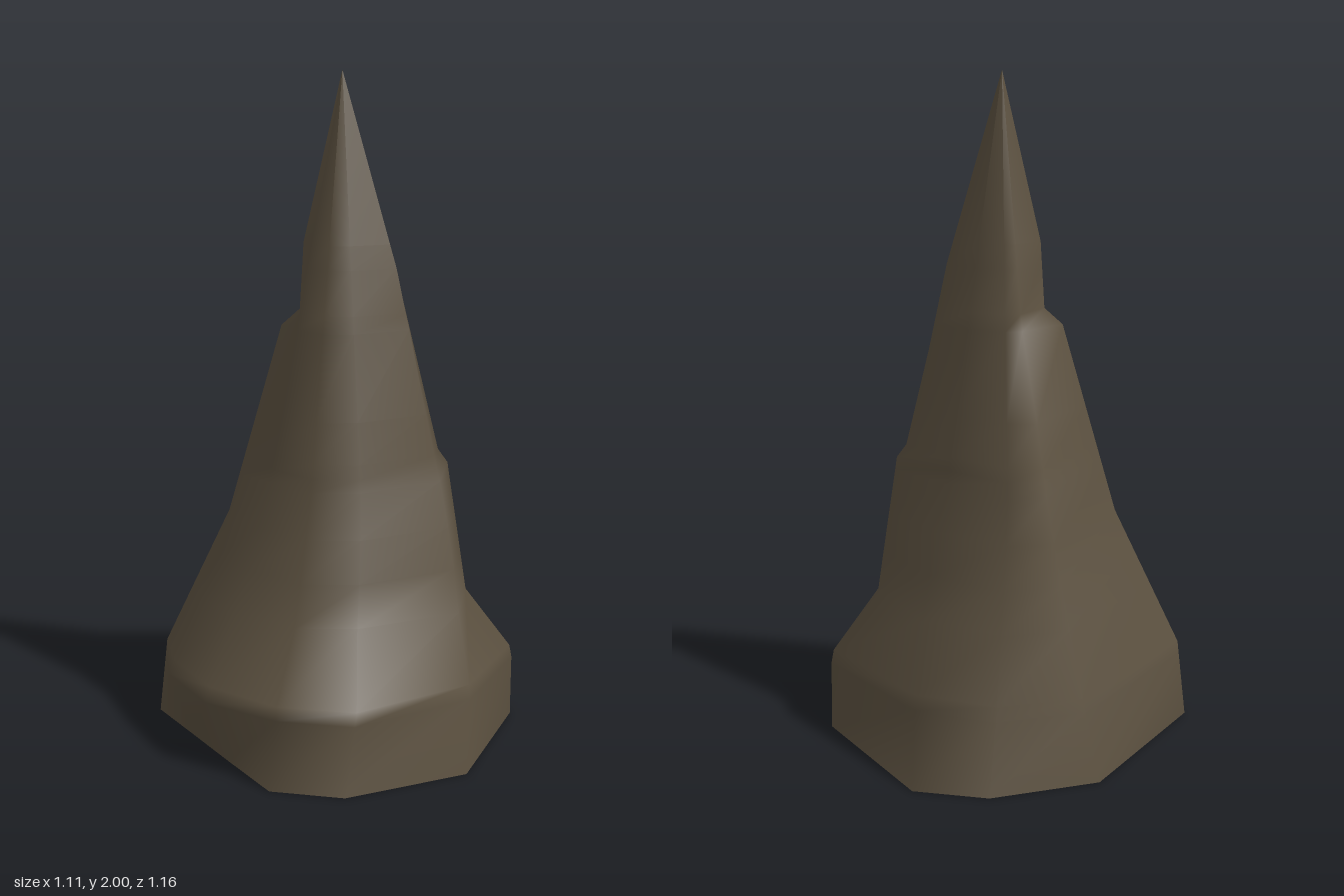
import * as THREE from 'three';

const HEIGHT = 2;
const rad = THREE.MathUtils.degToRad;

// A ridge climbs from the ground to the tip: its bearing turns from one angle
// to another over the lower rock, its reach follows [height, radius] pairs.
const ridge = (from, to, ...profile) => ({ from, to, profile: [...profile, [HEIGHT, 0]] });

const RIDGES = [
  // back
  ridge(-79, -85, [0, 0.59], [0.8, 0.35], [1.27, 0.155]),
  // back left
  ridge(-57.5, -40, [0, 0.605], [0.8, 0.25]),
  // left, with foot, ledge and shard
  ridge(-2, 8, [0, 0.555], [0.23, 0.55], [0.43, 0.4], [0.84, 0.335], [0.88, 0.305], [1.43, 0.165]),
  // front left
  ridge(47, 22, [0, 0.573], [0.23, 0.52], [0.43, 0.44], [0.84, 0.32], [1.43, 0.18]),
  // front
  ridge(86, 75, [0, 0.581], [0.24, 0.546], [0.43, 0.39], [0.8, 0.275]),
  ridge(108, 105, [0, 0.57], [0.24, 0.53], [0.43, 0.4], [0.8, 0.28]),
  // front right, overhanging at the foot
  ridge(131, 143, [0, 0.468], [0.2, 0.537], [0.5, 0.355], [0.8, 0.25]),
  ridge(159, 169, [0, 0.464], [0.2, 0.533], [0.55, 0.375], [1.25, 0.16], [1.3, 0.11]),
  // right, with a high notch
  ridge(182, 182, [0, 0.56], [0.24, 0.535], [0.67, 0.335], [1.25, 0.175], [1.3, 0.12], [1.5, 0.11]),
  // back right
  ridge(247.5, 257, [0, 0.547], [0.3, 0.485], [0.8, 0.365], [1, 0.285], [1.27, 0.155]),
];

const LEVELS = [0, 0.2, 0.24, 0.43, 0.55, 0.67, 0.8, 0.84, 0.88, 1, 1.25, 1.3, 1.43, 1.5, HEIGHT];

// Point on a ridge at a given height; the whole rock leans slightly left
function ridgePoint({ from, to, profile }, y) {
  const k = Math.max(1, profile.findIndex((p) => p[0] >= y));
  const [y0, r0] = profile[k - 1], [y1, r1] = profile[k];
  const r = r0 + ((r1 - r0) * (y - y0)) / (y1 - y0);
  const angle = rad(from + (to - from) * Math.min(1, y / 0.8));
  return [r * Math.cos(angle) + 0.01 * y, y, r * Math.sin(angle)];
}

function spireGeometry() {
  const n = RIDGES.length, last = LEVELS.length - 2, pos = [], idx = [];
  LEVELS.forEach((y) => RIDGES.forEach((r) => pos.push(...ridgePoint(r, y))));
  for (let i = 0; i <= last; i++) {
    for (let j = 0; j < n; j++) {
      const a = i * n + j, b = i * n + ((j + 1) % n), c = a + n, d = b + n;
      idx.push(b, a, c);
      if (i < last) idx.push(b, c, d); // the last ring closes to the tip
    }
  }
  const g = new THREE.BufferGeometry();
  g.setAttribute('position', new THREE.Float32BufferAttribute(pos, 3));
  g.setIndex(idx);
  g.computeVertexNormals();
  return g;
}

export function createModel() {
  const group = new THREE.Group();
  group.name = 'rockSpire';

  // Hollow tapering rock, open at the ground
  const stone = new THREE.MeshStandardMaterial({ color: 0x5c5140, side: THREE.DoubleSide });
  stone.name = 'brown stone';
  const spire = new THREE.Mesh(spireGeometry(), stone);
  spire.name = 'spire';
  group.add(spire);

  return group;
}
